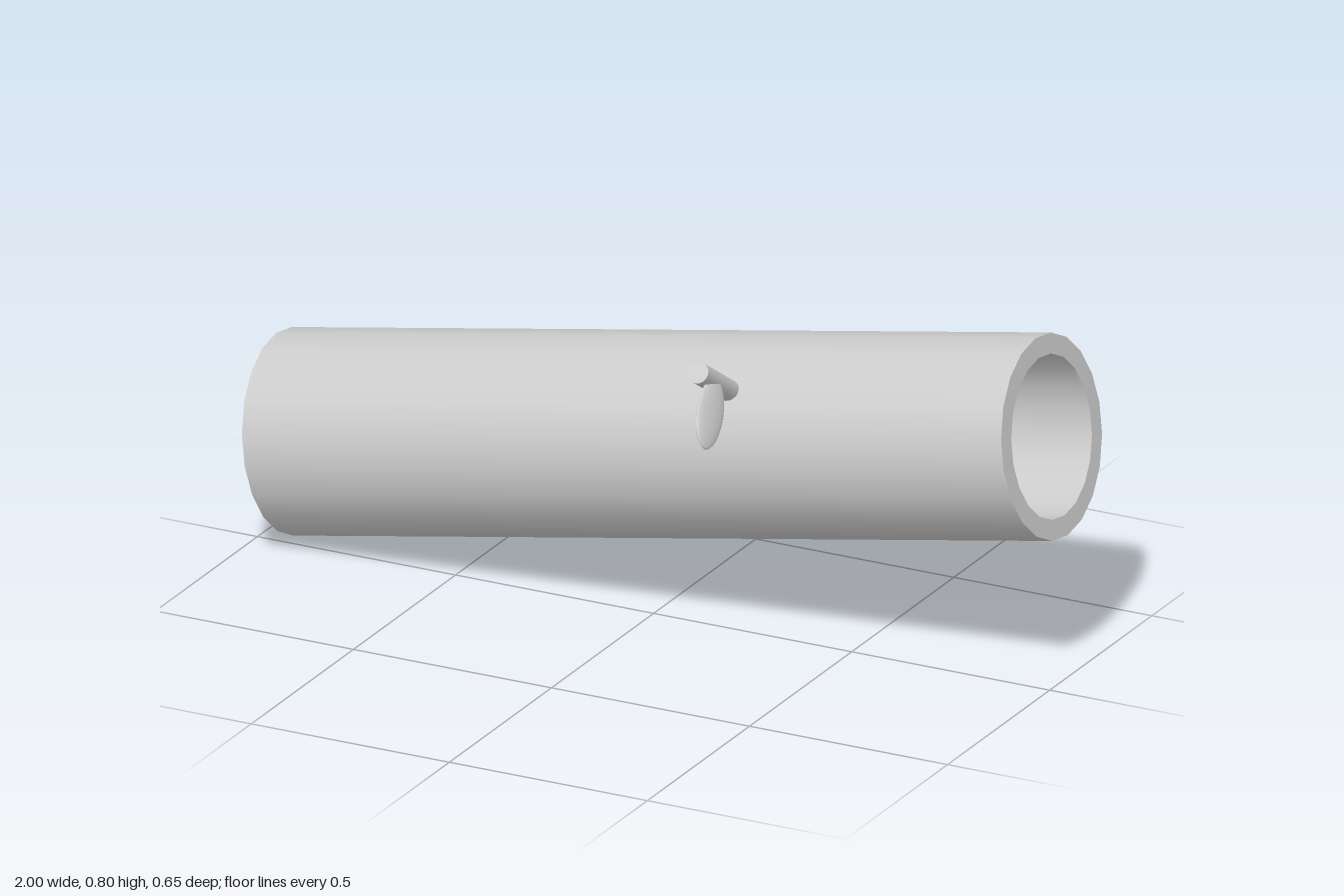
import * as THREE from 'three';
import { mergeGeometries } from 'three/addons/utils/BufferGeometryUtils.js';

const deg = THREE.MathUtils.degToRad;

// Hollow pipe: outer wall, inner wall and two end rings, with sharp rims
function pipeGeometry(outer, inner, length, sides) {
  const h = length / 2;
  const corners = [[inner, -h], [outer, -h], [outer, h], [inner, h]]
    .map(([r, y]) => new THREE.Vector2(r, y));
  const bands = corners.map((p, i) => new THREE.LatheGeometry([p, corners[(i + 1) % 4]], sides));
  return mergeGeometries(bands);
}

export function createModel() {
  const model = new THREE.Group();
  model.name = 'hollowLog';
  const material = new THREE.MeshStandardMaterial({ color: 0xcccccc });

  const add = (name, geometry) => {
    const mesh = new THREE.Mesh(geometry, material);
    mesh.name = name;
    model.add(mesh);
    return mesh;
  };

  // Log lying along x, raised towards +x
  const log = add('log', pipeGeometry(0.234, 0.187, 1.947, 20));
  log.position.set(0, 0.402, -0.09);
  log.rotation.z = deg(10.15 - 90);

  // Twig rooted in the log wall, pointing forward and up
  const root = new THREE.Vector3(0.228, 0.593, 0.05);
  const tip = new THREE.Vector3(0.228, 0.706, 0.224);
  const axis = tip.clone().sub(root);
  const twig = add('twig', new THREE.CylinderGeometry(0.025, 0.025, axis.length(), 16));
  twig.position.copy(root).add(tip).multiplyScalar(0.5);
  twig.quaternion.setFromUnitVectors(new THREE.Vector3(0, 1, 0), axis.normalize());

  // Leaf: flattened ellipsoid drooping from the twig
  const leaf = add('leaf', new THREE.SphereGeometry(1, 24, 16));
  leaf.scale.set(0.01, 0.046, 0.097);
  leaf.position.set(0.266, 0.62, 0.24);
  leaf.rotation.set(deg(34), 0, deg(24), 'ZYX');

  return model;
}
